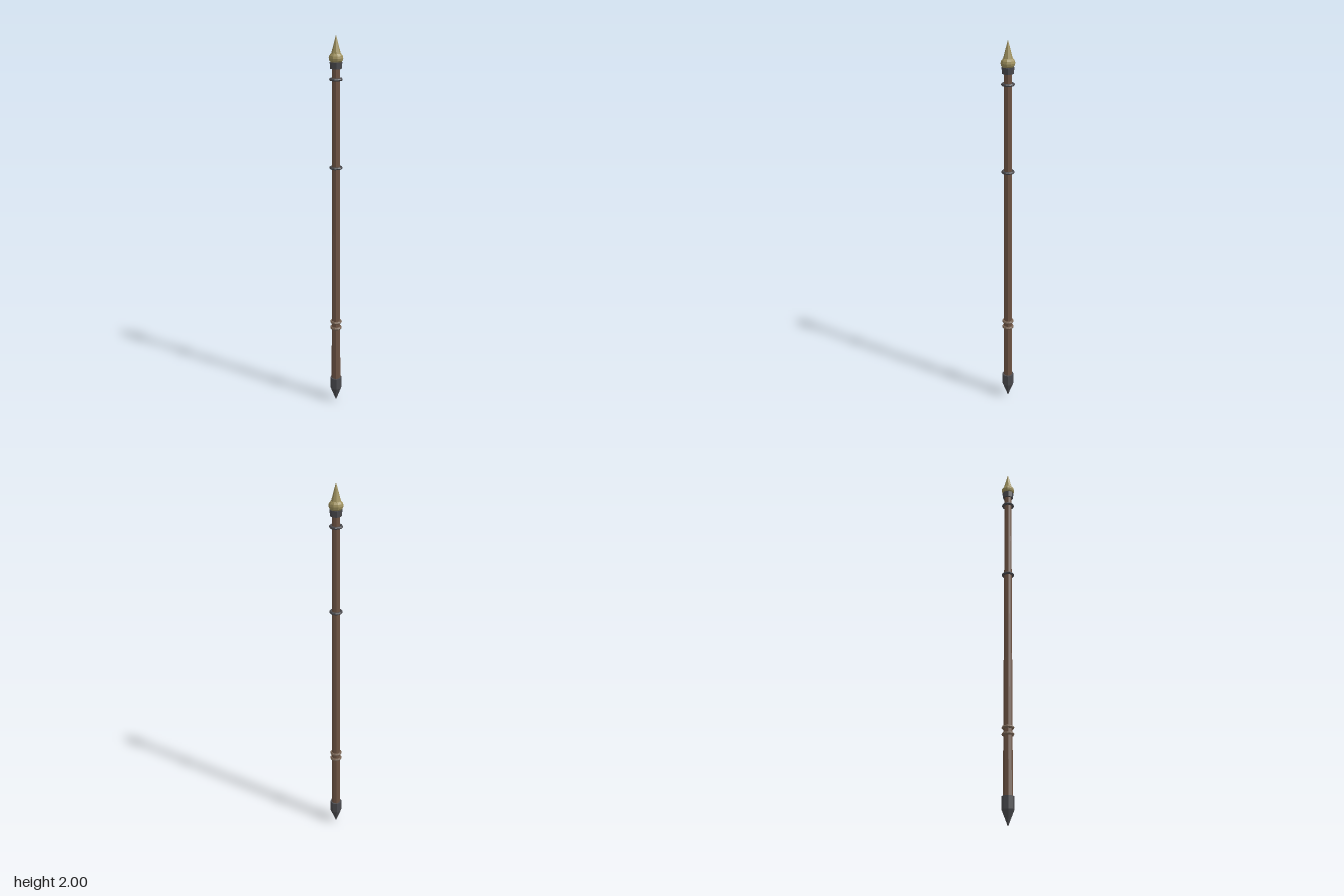
import * as THREE from 'three';

export function createModel() {
  const group = new THREE.Group();
  const material = (color) =>
    new THREE.MeshStandardMaterial({ color, flatShading: true });
  const wood = material(0x6e5444);
  const grip = material(0x7a6656);
  const iron = material(0x4c4c50);
  const brass = material(0xa0925f);

  const add = (name, geometry, mat, y) => {
    const mesh = new THREE.Mesh(geometry, mat);
    mesh.name = name;
    mesh.position.y = y;
    group.add(mesh);
    return mesh;
  };

  // tapered eight-sided shaft
  add('shaft', new THREE.CylinderGeometry(0.019, 0.024, 1.76, 8), wood, 0.98);

  // pointed foot: ferrule and downward spike
  add('ferrule', new THREE.CylinderGeometry(0.032, 0.031, 0.063, 8), iron, 0.1115);
  add('footSpike', new THREE.CylinderGeometry(0.031, 0, 0.08, 8), iron, 0.04);

  // rings around the shaft
  const addRing = (name, y, radius, tube, mat) => {
    const ring = new THREE.TorusGeometry(radius, tube, 6, 12);
    ring.rotateX(Math.PI / 2);
    add(name, ring, mat, y);
  };
  for (const y of [0.45, 0.484]) addRing('gripRing', y, 0.024, 0.008, grip);
  for (const y of [1.344, 1.788]) addRing('ironRing', y, 0.027, 0.007, iron);

  // head: collar, slightly flattened knob and finial
  add('collar', new THREE.CylinderGeometry(0.031, 0.028, 0.032, 8), iron, 1.855);
  add('knob', new THREE.SphereGeometry(0.0355, 10, 8), brass, 1.89).scale.y = 0.85;
  add('finial', new THREE.ConeGeometry(0.0245, 0.092, 8), brass, 1.954);

  return group;
}
